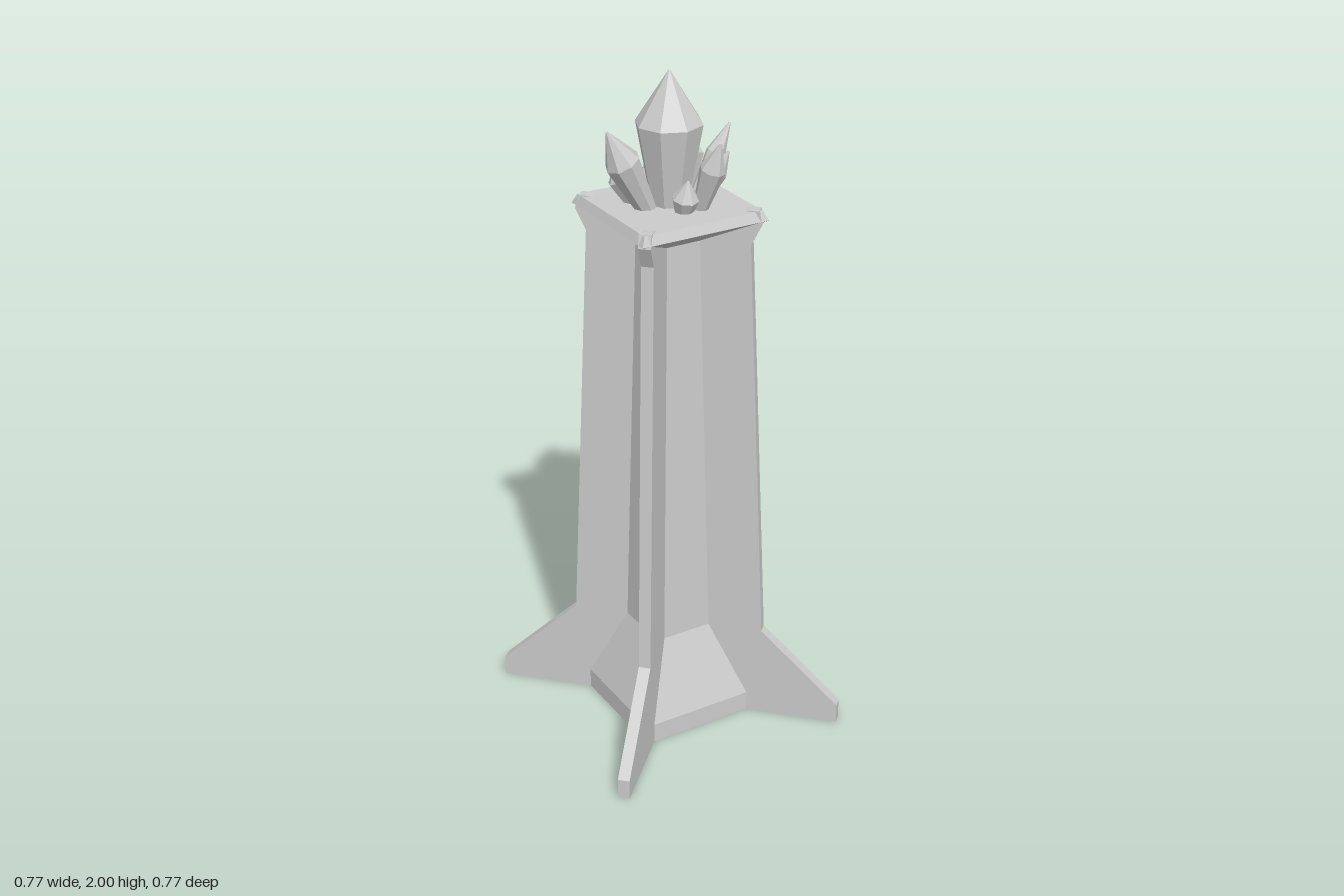
import * as THREE from 'three';

const material = new THREE.MeshStandardMaterial({ color: 0xcccccc, flatShading: true });

function addMesh(parent, name, geometry) {
  const mesh = new THREE.Mesh(geometry, material);
  mesh.name = name;
  parent.add(mesh);
  return mesh;
}

// Lathe from [radius, height] pairs
function turned(profile, sides, start = 0) {
  const points = profile.map(([r, y]) => new THREE.Vector2(r, y));
  return new THREE.LatheGeometry(points, sides, start);
}

// Eight-sided pointed crystal running from base to tip
function addCrystal(parent, name, base, tip, radius, shoulder) {
  const from = new THREE.Vector3(...base);
  const axis = new THREE.Vector3(...tip).sub(from);
  const h = axis.length();
  const profile = [[0, 0], [radius * 0.5, 0], [radius, h * shoulder], [0.003, h - 0.002], [0, h]];
  const crystal = addMesh(parent, name, turned(profile, 8));
  crystal.position.copy(from);
  crystal.quaternion.setFromUnitVectors(new THREE.Vector3(0, 1, 0), axis.normalize());
}

export function createModel() {
  const model = new THREE.Group();
  model.name = 'crystalPillar';

  // Square shaft with flared foot and bevelled cap (half widths)
  const halfWidths = [[0, 0], [0.188, 0], [0.188, 0.06], [0.102, 0.29], [0.077, 1.53],
    [0.197, 1.6], [0.185, 1.627], [0, 1.627]];
  const squareProfile = halfWidths.map(([w, y]) => [w * Math.SQRT2, y]);
  addMesh(model, 'shaft', turned(squareProfile, 4, Math.PI / 4));

  // Four thin diagonal buttresses
  const thickness = 0.035;
  const outline = [[0.03, 0], [0.528, 0], [0.528, 0.06], [0.29, 0.29], [0.234, 1.53],
    [0.264, 1.592], [0.254, 1.63], [0.03, 1.6]];
  outline.splice(7, 0, [0.235, 1.63]);
  const finShape = new THREE.Shape(outline.map(([r, y]) => new THREE.Vector2(r, y)));
  const finGeometry = new THREE.ExtrudeGeometry(finShape, { depth: thickness, bevelEnabled: false });
  finGeometry.translate(0, 0, -thickness / 2);
  for (let i = 0; i < 4; i++) {
    addMesh(model, 'buttress', finGeometry).rotation.y = Math.PI / 4 + i * Math.PI / 2;
  }

  // Crystal cluster on the cap
  const cluster = new THREE.Group();
  cluster.name = 'crystalCluster';
  model.add(cluster);
  addCrystal(cluster, 'mainCrystal', [0, 1.6, 0], [0, 2, 0], 0.095, 0.635);
  const smallCrystals = [
    // base, tip, radius, shoulder
    [[-0.06, 1.6, 0], [-0.19, 1.86, -0.005], 0.05, 0.64],
    [[-0.06, 1.6, -0.05], [-0.11, 1.75, -0.098], 0.053, 0.62],
    [[0, 1.6, -0.085], [0, 1.72, -0.115], 0.038, 0.55],
    [[0.06, 1.6, -0.05], [0.11, 1.8, -0.105], 0.062, 0.65],
    [[0.06, 1.6, 0.01], [0.182, 1.83, 0.018], 0.028, 0.65],
    [[0.06, 1.6, 0.04], [0.132, 1.78, 0.093], 0.028, 0.65],
    [[0.045, 1.6, 0.075], [0.075, 1.825, 0.144], 0.036, 0.65],
    [[0, 1.6, 0.07], [0, 1.72, 0.1], 0.038, 0.55],
  ];
  for (const spec of smallCrystals) addCrystal(cluster, 'smallCrystal', ...spec);

  return model;
}
